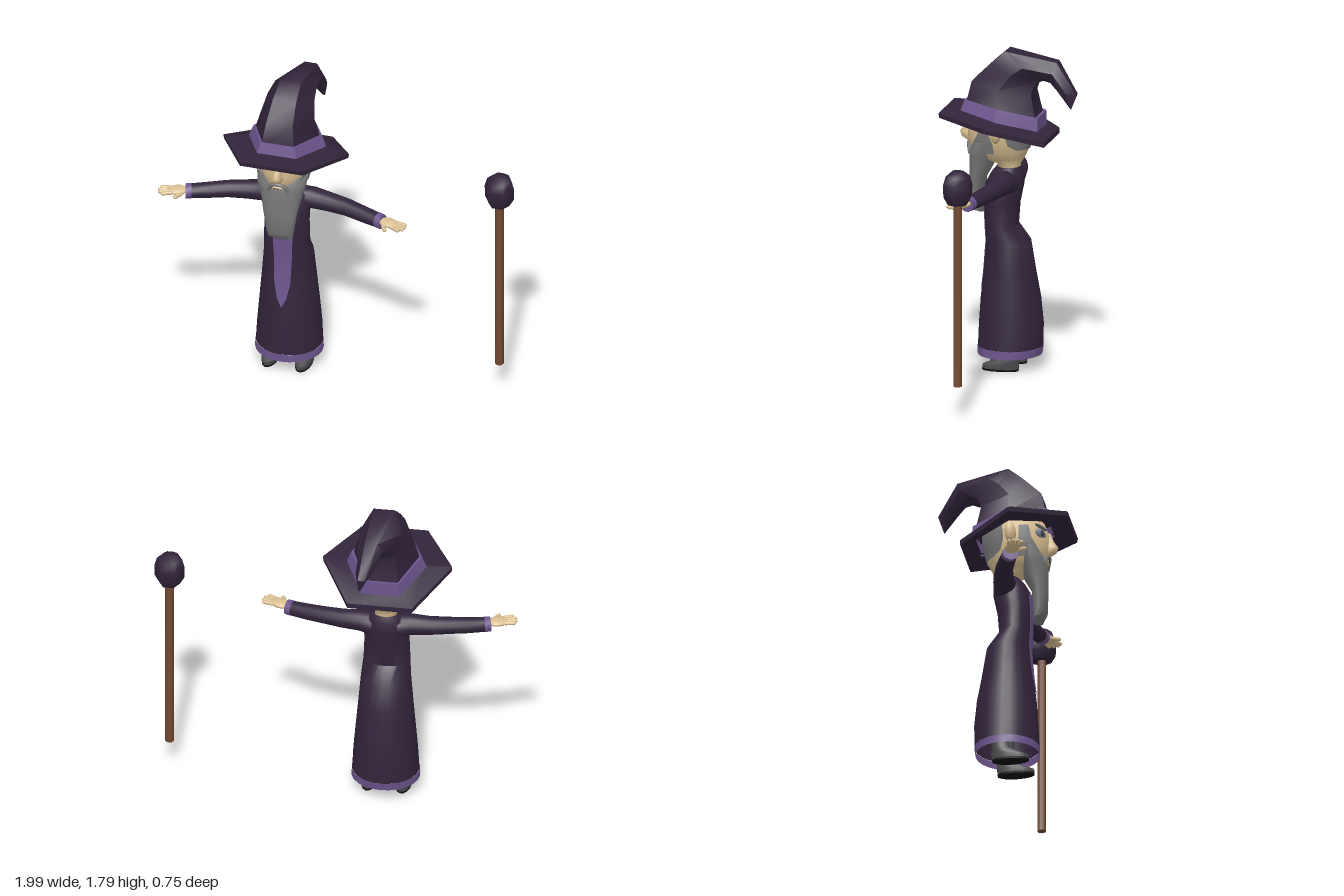
import * as THREE from 'three';
import { toCreasedNormals } from 'three/addons/utils/BufferGeometryUtils.js';

const paint = (name, color) => {
  const m = new THREE.MeshStandardMaterial({ color, side: THREE.DoubleSide });
  m.name = name;
  return m;
};

// Cross-section running from a front point (z, y) to a back point (z, y), with half width hw
const sec = (zf, yf, zb, yb, hw, x = 0, lift = 0) => ({
  c: new THREE.Vector3(x, (yf + yb) / 2, (zf + zb) / 2),
  u: new THREE.Vector3(hw, 0, 0),
  v: new THREE.Vector3(0, (yf - yb) / 2, (zf - zb) / 2),
  lift,
});
// Level section from a row [y, front z, back z, half width], optionally enlarged
const level = ([y, zf, zb, hw], grow = 0) => sec(zf + grow, y, zb - grow, y, hw + grow);

// Row of a profile at any height
function rowAt(rows, y) {
  let i = 0;
  while (i < rows.length - 2 && rows[i + 1][0] < y) i++;
  const a = rows[i], b = rows[i + 1], t = (y - a[0]) / (b[0] - a[0]);
  return a.map((n, k) => n + (b[k] - n) * t);
}

// Skin through cross-sections; each may carry its own arc (degrees) for open patches
function loft(secs, { n = 20, arc = null, cap = false, crease = 0.7 } = {}) {
  const pos = [], idx = [], k = n === 6 ? 1 / Math.sin(Math.PI / 3) : 1;
  secs.forEach((s) => {
    const [a0, a1] = s.arc || arc || [0, 360];
    for (let j = 0; j <= n; j++) {
      const a = THREE.MathUtils.degToRad(a0 + (a1 - a0) * j / n), co = Math.cos(a);
      const p = s.c.clone().addScaledVector(s.u, co).addScaledVector(s.v, Math.sin(a) * k);
      pos.push(p.x, p.y + (s.lift || 0) * Math.abs(co) ** 3, p.z);
    }
  });
  const w = n + 1;
  for (let i = 0; i < secs.length - 1; i++) for (let j = 0; j < n; j++) {
    const a = i * w + j, b = a + w;
    idx.push(a, b, a + 1, a + 1, b, b + 1);
  }
  if (cap) [0, secs.length - 1].forEach((i) => {
    const c = pos.length / 3;
    pos.push(...secs[i].c.toArray());
    for (let j = 0; j < n; j++) {
      const a = i * w + j;
      idx.push(c, i ? a + 1 : a, i ? a : a + 1);
    }
  });
  const g = new THREE.BufferGeometry();
  g.setAttribute('position', new THREE.Float32BufferAttribute(pos, 3));
  g.setIndex(idx);
  return toCreasedNormals(g, crease);
}

export function createModel() {
  const robe = paint('dark purple cloth', 0x32253b);
  const trim = paint('purple trim', 0x6d558e);
  const skin = paint('skin', 0xdcc294);
  const hair = paint('grey hair', 0x7a7a7a);
  const boot = paint('boot leather', 0x4a4a4d);
  const sole = paint('black sole', 0x111113);
  const wood = paint('brown wood', 0x744a31);
  const eyeGrey = paint('eye grey', 0x8c929d);
  const pupilBlue = paint('pupil blue', 0x3f4a5c);

  const model = new THREE.Group();
  const figure = new THREE.Group();
  figure.name = 'figure';
  figure.position.x = -0.285;
  model.add(figure);

  const add = (parent, name, geo, mat, p = [0, 0, 0], s = [1, 1, 1], r = [0, 0, 0]) => {
    const m = new THREE.Mesh(geo, mat);
    m.name = name;
    m.position.set(...p);
    m.scale.set(...s);
    m.rotation.set(...r);
    parent.add(m);
    return m;
  };
  const ball = new THREE.SphereGeometry(1, 16, 12);

  // Robe, open at the hem
  const robeRows = [
    [0.08, 0.19, -0.16, 0.187], [0.125, 0.19, -0.167, 0.185], [0.25, 0.185, -0.17, 0.178],
    [0.4, 0.175, -0.155, 0.165], [0.55, 0.157, -0.127, 0.152], [0.715, 0.145, -0.1, 0.138],
    [0.805, 0.15, -0.03, 0.13], [0.93, 0.155, -0.04, 0.125], [1.04, 0.148, -0.063, 0.127],
    [1.1, 0.115, -0.06, 0.115], [1.135, 0.085, -0.045, 0.075],
  ];
  add(figure, 'robe', loft(robeRows.slice(1).map((r) => level(r)), { n: 24 }), robe);
  add(figure, 'hem', loft(robeRows.slice(0, 2).map((r) => level(r, 0.002)), { n: 24 }), trim);

  // Front panel tapering to a point
  const panel = [[0.42, 0.5], [0.47, 9], [0.56, 17], [0.715, 21], [0.805, 24], [0.93, 27], [1.03, 27]];
  add(figure, 'frontPanel', loft(panel.map(([y, d]) => (
    { ...level(rowAt(robeRows, y), 0.004), arc: [90 - d, 90 + d] })), { n: 8 }), trim);

  // Head and neck
  const headRows = [
    [1.08, 0.075, -0.045, 0.06], [1.15, 0.085, -0.045, 0.062], [1.18, 0.19, -0.065, 0.09],
    [1.22, 0.232, -0.085, 0.122], [1.3, 0.25, -0.11, 0.143], [1.38, 0.25, -0.12, 0.15],
    [1.46, 0.22, -0.12, 0.14], [1.52, 0.16, -0.07, 0.09],
  ];
  add(figure, 'head', loft(headRows.map((r) => level(r)), { cap: true, crease: 1.2 }), skin);
  add(figure, 'nose', loft([
    [1.262, 0.25, 0.22, 0.012], [1.285, 0.285, 0.21, 0.03], [1.315, 0.297, 0.21, 0.028],
    [1.35, 0.273, 0.21, 0.018], [1.4, 0.255, 0.21, 0.014],
  ].map((r) => level(r)), { n: 10, cap: true, crease: 1.2 }), skin);
  const backHair = [[1.24, 225, 315], [1.27, 205, 335], [1.33, 197, 343], [1.38, 197, 343], [1.45, 197, 343]];
  add(figure, 'backHair', loft(backHair.map(([y, a, b]) => (
    { ...level(rowAt(headRows, y), 0.007), arc: [a, b] }))), hair);

  // Beard, moustache and mouth
  add(figure, 'beard', loft([
    [0.868, 0.18, 0.162, 0.025], [0.885, 0.212, 0.16, 0.07], [0.93, 0.235, 0.158, 0.078],
    [1.06, 0.238, 0.15, 0.098], [1.13, 0.238, 0.11, 0.112], [1.2, 0.238, 0.095, 0.132],
    [1.225, 0.235, 0.09, 0.139], [1.28, 0.21, 0.085, 0.145],
  ].map((r) => level(r)), { cap: true }), hair);
  const moustache = new THREE.CatmullRomCurve3([
    [-0.06, 1.205, 0.225], [-0.035, 1.243, 0.238], [0, 1.255, 0.246], [0.035, 1.243, 0.238], [0.06, 1.205, 0.225],
  ].map((p) => new THREE.Vector3(...p)));
  add(figure, 'moustache', new THREE.TubeGeometry(moustache, 16, 0.011, 6), hair);
  add(figure, 'mouth', ball, skin, [0, 1.23, 0.235], [0.036, 0.012, 0.012]);
  add(figure, 'mouthLine', ball, sole, [0, 1.229, 0.243], [0.024, 0.003, 0.006]);

  // Crooked hat: brim, band and crown
  const hex = { n: 6, crease: 0.6 };
  add(figure, 'hatBrim', loft([
    sec(0.26, 1.425, -0.15, 1.34, 0.21, 0, 0.02), sec(0.37, 1.417, -0.22, 1.283, 0.355, 0, 0.04),
    sec(0.375, 1.442, -0.22, 1.312, 0.358, 0, 0.04), sec(0.26, 1.452, -0.15, 1.362, 0.21, 0, 0.02),
  ], { n: 6, crease: 0.3 }), robe);
  add(figure, 'hatBand', loft([
    sec(0.27, 1.44, -0.165, 1.335, 0.228, 0, 0.02), sec(0.25, 1.508, -0.165, 1.43, 0.194, 0, 0.02),
    sec(0.235, 1.508, -0.15, 1.43, 0.18, 0, 0.02),
  ], { n: 6, crease: 0.3 }), trim);
  add(figure, 'hatCrown', loft([
    sec(0.24, 1.49, -0.15, 1.41, 0.187, 0, 0.02), sec(0.213, 1.615, -0.12, 1.56, 0.152),
    sec(0.11, 1.715, -0.145, 1.62, 0.133), sec(0.025, 1.79, -0.19, 1.638, 0.118, 0.01),
    sec(-0.265, 1.745, -0.23, 1.63, 0.07, 0.04), sec(-0.38, 1.575, -0.275, 1.59, 0.04, 0.075),
    sec(-0.352, 1.492, -0.345, 1.497, 0.006, 0.09),
  ], { ...hex, cap: true, crease: 0.9 }), robe);

  // Paired parts, built on the model's left and mirrored
  for (const side of [1, -1]) {
    const half = new THREE.Group();
    half.name = side > 0 ? 'leftSide' : 'rightSide';
    half.scale.x = side;
    figure.add(half);

    add(half, 'ear', ball, skin, [0.165, 1.352, 0.055], [0.035, 0.062, 0.03], [0, 0.4, -0.12]);
    const burn = [[1.22, 0, 45], [1.28, 2, 36], [1.33, 8, 27], [1.4, 10, 25]];
    add(half, 'sideburn', loft(burn.map(([y, a, b]) => (
      { ...level(rowAt(headRows, y), 0.007), arc: [a, b] })), { n: 6 }), hair);

    // Eye with iris and brow
    const face = new THREE.Group();
    face.name = 'eyeGroup';
    face.position.set(0.087, 1.368, 0.211);
    face.rotation.y = 0.55;
    half.add(face);
    add(face, 'eye', ball, eyeGrey, [0, 0, 0], [0.044, 0.026, 0.012]);
    add(face, 'pupil', ball, pupilBlue, [-0.003, 0, 0.008], [0.019, 0.019, 0.007]);
    add(face, 'eyebrow', ball, hair, [0, 0.037, 0.003], [0.05, 0.009, 0.012], [0, 0, 0.1]);

    // Sleeve and cuff, sections along the arm
    const tube = (rows) => loft(rows.map(([x, y, z, r]) => ({
      c: new THREE.Vector3(x, y, z), u: new THREE.Vector3(-r * 0.3, 0, r), v: new THREE.Vector3(0, r, 0),
    })), { n: 14, cap: true });
    add(half, 'sleeve', tube([
      [0.05, 1.05, 0.025, 0.075], [0.13, 1.062, 0.018, 0.06], [0.24, 1.056, 0.03, 0.052],
      [0.34, 1.053, 0.05, 0.047], [0.44, 1.045, 0.08, 0.044], [0.54, 1.04, 0.112, 0.04],
    ]), robe);
    add(half, 'cuff', tube([[0.53, 1.041, 0.108, 0.042], [0.562, 1.04, 0.12, 0.041]]), trim);

    // Open hand, palm down
    const hand = new THREE.Group();
    hand.name = 'hand';
    hand.position.set(0.555, 1.05, 0.118);
    hand.rotation.y = -0.36;
    half.add(hand);
    add(hand, 'palm', ball, skin, [0.05, 0, 0], [0.06, 0.019, 0.043]);
    [0.052, 0.064, 0.062, 0.05].forEach((len, i) => {
      const o = 1.5 - i;
      add(hand, 'finger', new THREE.CapsuleGeometry(0.0105, len, 3, 8), skin,
        [0.085 + len / 2, 0, o * 0.021], [1, 1, 1], [0, -o * 0.07, -Math.PI / 2]);
    });
    add(hand, 'thumb', new THREE.CapsuleGeometry(0.0115, 0.045, 3, 8), skin,
      [0.053, -0.006, 0.05], [1, 1, 1], [0, -0.75, -Math.PI / 2]);

    // Boot with leg and sole
    const foot = new THREE.Group();
    foot.name = 'foot';
    foot.position.x = 0.095;
    half.add(foot);
    add(foot, 'boot', loft([
      [0.01, 0.148, -0.057, 0.045], [0.032, 0.148, -0.06, 0.047], [0.055, 0.095, -0.06, 0.044],
      [0.078, 0.05, -0.058, 0.04], [0.13, 0.035, -0.055, 0.04], [0.4, 0.04, -0.05, 0.045],
    ].map((r) => level(r)), { n: 14, cap: true }), boot);
    add(foot, 'sole', loft([
      [0, 0.148, -0.057, 0.044], [0.011, 0.15, -0.059, 0.046],
    ].map((r) => level(r)), { n: 14, cap: true }), sole);
  }

  // Free-standing staff with a six-sided knob
  const staff = new THREE.Group();
  staff.name = 'staff';
  staff.position.set(0.912, 0, 0.012);
  model.add(staff);
  add(staff, 'shaft', toCreasedNormals(new THREE.CylinderGeometry(0.024, 0.024, 1.05, 10), 0.8), wood, [0, 0.7, 0]);
  add(staff, 'knob', loft([
    [1.2, 0.048, -0.048, 0.056], [1.245, 0.07, -0.07, 0.082], [1.31, 0.073, -0.073, 0.084],
    [1.36, 0.06, -0.06, 0.07], [1.387, 0.03, -0.03, 0.036],
  ].map((r) => level(r)), { n: 6, cap: true, crease: 1.1 }), robe);

  return model;
}
